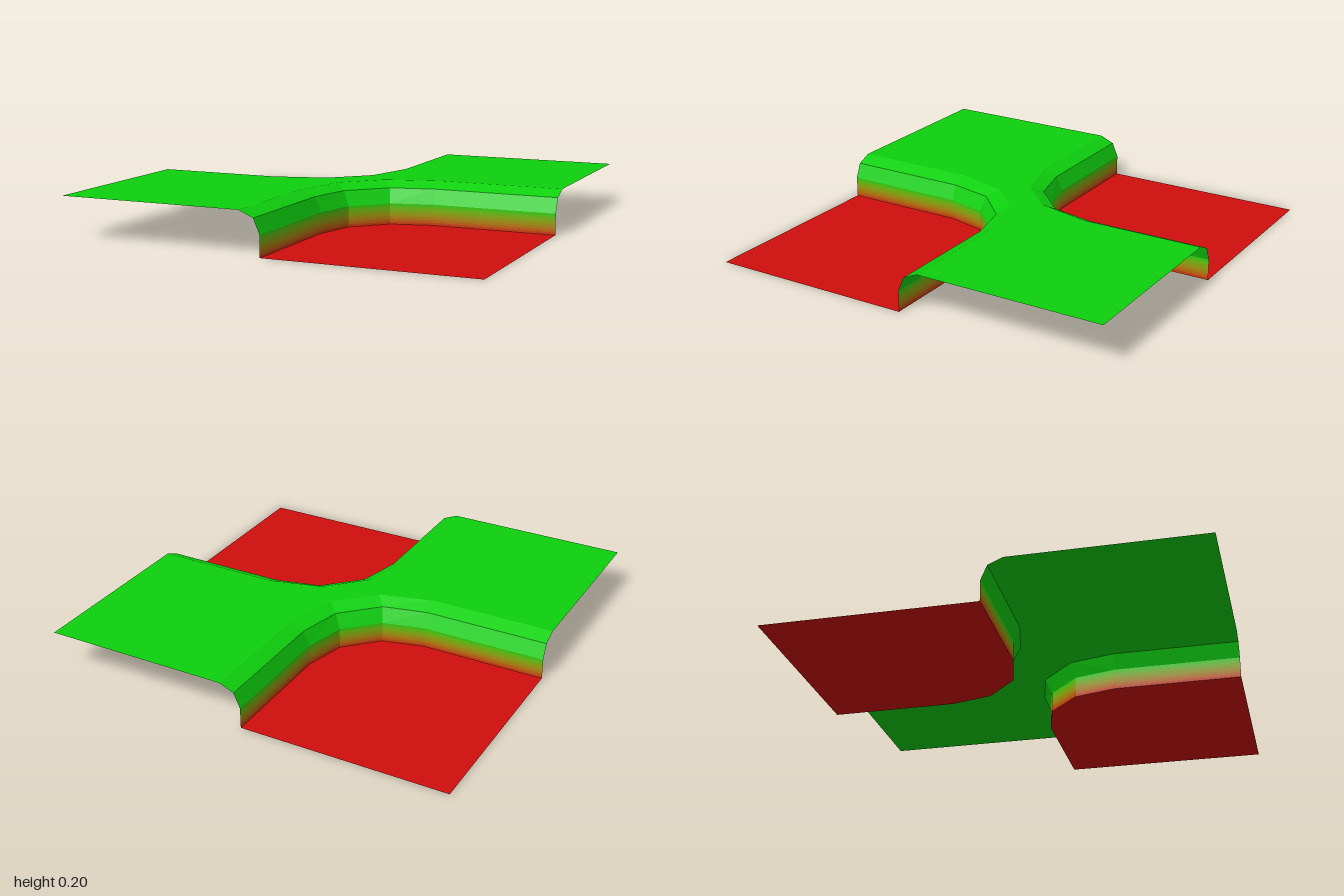
import * as THREE from 'three';

const mat = (name, color) =>
  new THREE.MeshStandardMaterial({ name, color, side: THREE.DoubleSide });

// Cliff contours as [x, z], from the front edge round the bend to the right edge
const mirrorBend = (half) => [...half, ...half.map(([x, z]) => [z, x]).reverse()];
const foot = mirrorBend([[0, 1], [0, 0.4], [0.05, 0.2]]);
const shoulder = mirrorBend([[-0.03, 1], [-0.03, 0.4], [0.02, 0.185]]);
const rim = mirrorBend([[-0.1, 1], [-0.1, 0.4], [-0.03, 0.14]]);

// Horizontal sheet facing up
function sheet(points, y) {
  const shape = new THREE.Shape(points.map(([x, z]) => new THREE.Vector2(x, -z)));
  return new THREE.ShapeGeometry(shape).rotateX(-Math.PI / 2).translate(0, y, 0);
}

// Faceted strip between two contours
function strip(low, y0, high, y1) {
  const pos = [];
  for (let i = 0; i < low.length - 1; i++) {
    const a = [low[i][0], y0, low[i][1]];
    const b = [low[i + 1][0], y0, low[i + 1][1]];
    const c = [high[i + 1][0], y1, high[i + 1][1]];
    const d = [high[i][0], y1, high[i][1]];
    pos.push(...a, ...b, ...c, ...a, ...c, ...d);
  }
  const g = new THREE.BufferGeometry();
  g.setAttribute('position', new THREE.Float32BufferAttribute(pos, 3));
  g.computeVertexNormals();
  return g;
}

export function createModel() {
  const model = new THREE.Group();
  model.name = 'terrainTile';
  const red = mat('lowGroundRed', 0xd00e0e);
  const green = mat('highGroundGreen', 0x0ed00e);

  const add = (parent, name, geometry, material) => {
    const mesh = new THREE.Mesh(geometry, material);
    mesh.name = name;
    parent.add(mesh);
  };

  // Raised ground running diagonally between the two low corners
  const turned = rim.map(([x, z]) => [-x, -z]);
  add(model, 'plateau', sheet([...rim, [1, -1], ...turned, [-1, 1]], 0.2), green);

  // Bands blending from red at the foot to green halfway up the cliff
  const bands = 8;
  const blends = Array.from({ length: bands }, (_, i) => {
    const m = mat('cliffBlend' + (i + 1), 0xffffff);
    m.color.lerpColors(red.color, green.color, (i + 0.5) / bands);
    return m;
  });

  // Two opposite low corners, each with its cliff
  for (const [name, angle] of [['frontLeftCorner', 0], ['backRightCorner', Math.PI]]) {
    const corner = new THREE.Group();
    corner.name = name;
    corner.rotation.y = angle;
    add(corner, 'lowGround', sheet([...foot, [1, 1]], 0), red);
    blends.forEach((m, i) => add(corner, 'cliffBand' + (i + 1),
      strip(foot, 0.1 * i / bands, foot, 0.1 * (i + 1) / bands), m));
    add(corner, 'cliffShoulder', strip(foot, 0.1, shoulder, 0.17), green);
    add(corner, 'cliffRim', strip(shoulder, 0.17, rim, 0.2), green);
    model.add(corner);
  }
  return model;
}
